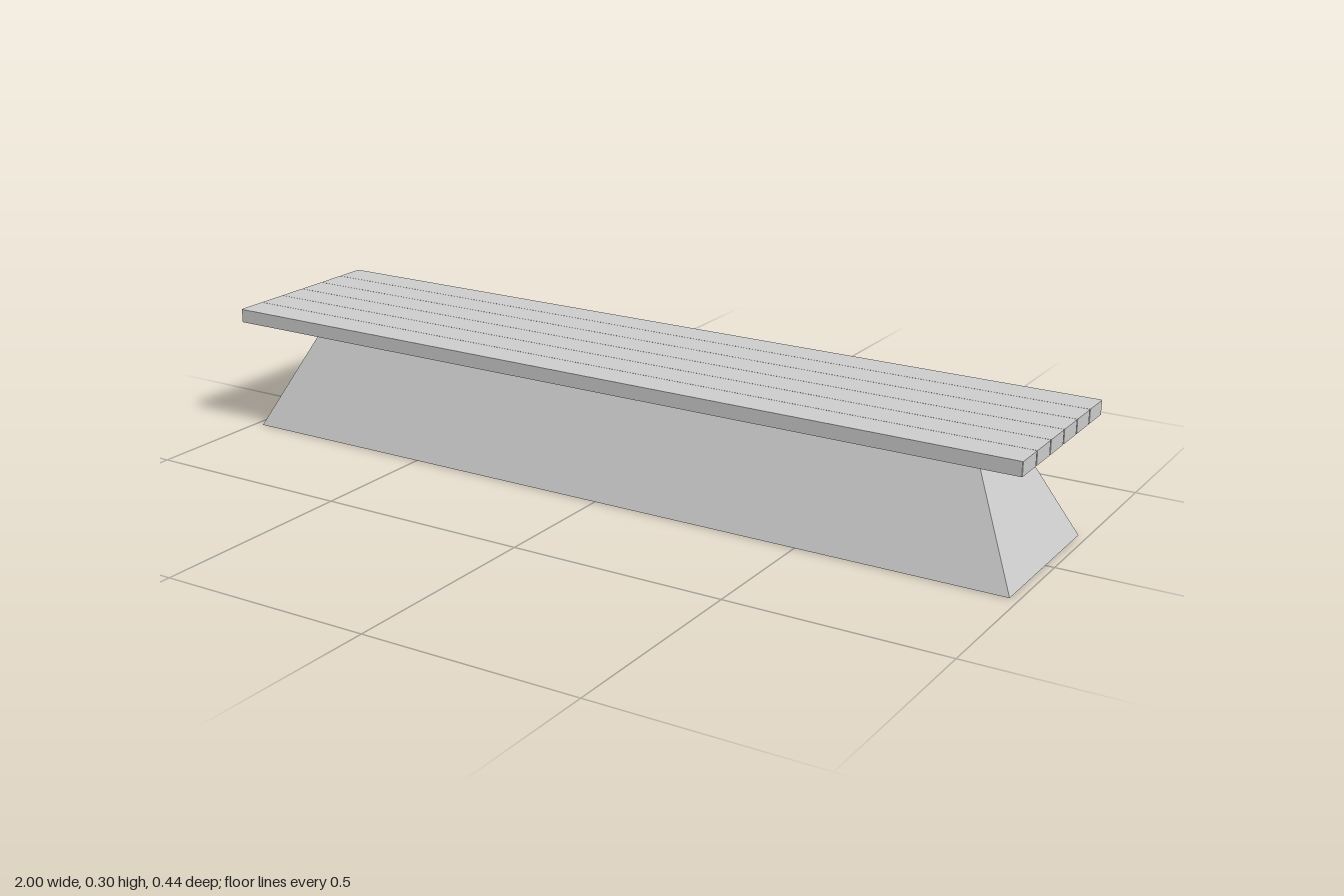
import * as THREE from 'three';

const material = new THREE.MeshStandardMaterial({ color: 0xcccccc, flatShading: true });

// Plank: rounded-corner outline in plan, extruded upward by its thickness
function plankGeometry(length, width, thickness, r) {
  const x = length / 2, z = width / 2;
  const s = new THREE.Shape();
  s.moveTo(-x + r, -z);
  s.lineTo(x - r, -z);
  s.quadraticCurveTo(x, -z, x, -z + r);
  s.lineTo(x, z - r);
  s.quadraticCurveTo(x, z, x - r, z);
  s.lineTo(-x + r, z);
  s.quadraticCurveTo(-x, z, -x, z - r);
  s.lineTo(-x, -z + r);
  s.quadraticCurveTo(-x, -z, -x + r, -z);
  const geo = new THREE.ExtrudeGeometry(s, { depth: thickness, bevelEnabled: false, curveSegments: 3 });
  return geo.rotateX(-Math.PI / 2);
}

// Solid base: a box whose top is drawn in on all four sides
function baseGeometry(height, bottomX, bottomZ, topX, topZ) {
  const geo = new THREE.BoxGeometry(2, height, 2).translate(0, height / 2, 0);
  const p = geo.attributes.position;
  for (let i = 0; i < p.count; i++) {
    const top = p.getY(i) > height / 2;
    p.setX(i, p.getX(i) * (top ? topX : bottomX));
    p.setZ(i, p.getZ(i) * (top ? topZ : bottomZ));
  }
  geo.computeVertexNormals();
  return geo;
}

export function createModel() {
  const bench = new THREE.Group();
  bench.name = 'bench';
  const seatBottom = 0.268, thickness = 0.032, count = 6, pitch = 0.0733;

  const base = new THREE.Mesh(baseGeometry(seatBottom, 0.98, 0.192, 0.843, 0.083), material);
  base.name = 'base';
  bench.add(base);

  // Seat of six planks laid side by side
  const seat = new THREE.Group();
  seat.name = 'seat';
  const geo = plankGeometry(2, pitch - 0.0008, thickness, 0.0035);
  for (let i = 0; i < count; i++) {
    const plank = new THREE.Mesh(geo, material);
    plank.name = `plank${i + 1}`;
    plank.position.set(0, seatBottom, (i - (count - 1) / 2) * pitch);
    seat.add(plank);
  }
  bench.add(seat);
  return bench;
}
